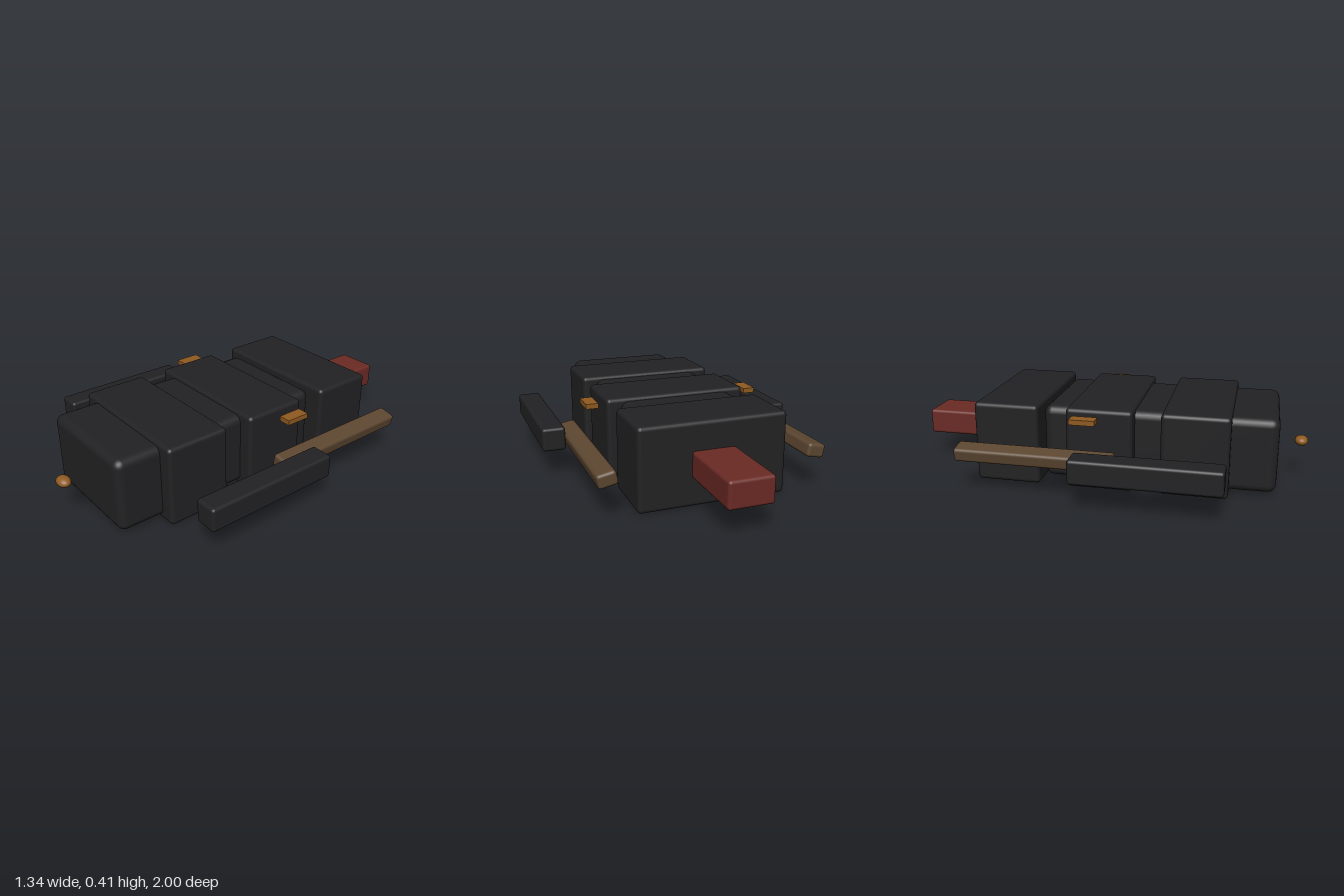
import * as THREE from 'three';
import { RoundedBoxGeometry } from 'three/addons/geometries/RoundedBoxGeometry.js';

const paint = (color) => new THREE.MeshStandardMaterial({ color });

export function createModel() {
  const model = new THREE.Group();
  const dark = paint(0x222224);
  const red = paint(0x6b2a25);
  const brown = paint(0x5c4630);
  const amber = paint(0x8f5a20);

  function add(name, geometry, material, x, y, z) {
    const mesh = new THREE.Mesh(geometry, material);
    mesh.name = name;
    mesh.position.set(x, y, z);
    model.add(mesh);
    return mesh;
  }
  const rounded = (w, h, d, r) => new RoundedBoxGeometry(w, h, d, 3, r);

  // Long body core, wrapped by three wider segments
  add('bodyCore', rounded(0.585, 0.37, 1.145, 0.04), dark, 0, 0.21, 0.278);
  [0.465, 0.002, -0.467].forEach((z, i) =>
    add('bodySegment' + (i + 1), rounded(0.73, 0.405, 0.328, 0.02), dark, 0, 0.21, z));

  // Rear tail block and small nose
  add('tail', rounded(0.216, 0.13, 0.4, 0.015), red, 0, 0.21, -0.8);
  const nose = add('nose', new THREE.SphereGeometry(1, 24, 16), amber, 0, 0.21, 0.967);
  nose.scale.set(0.043, 0.025, 0.033);

  // Mirrored side parts
  for (const s of [1, -1]) {
    const side = s > 0 ? 'left' : 'right';
    add(side + 'ForeLimb', rounded(0.117, 0.118, 0.7, 0.015), dark, s * 0.613, 0.21, 0.275);
    const rod = add(side + 'HindLimb', rounded(0.093, 0.068, 0.775, 0.016), brown, s * 0.51, 0.21, -0.28);
    rod.rotation.z = -s * 0.2;
    add(side + 'Tab', new THREE.BoxGeometry(0.062, 0.025, 0.124), amber, s * 0.427, 0.375, -0.057);
  }
  return model;
}
